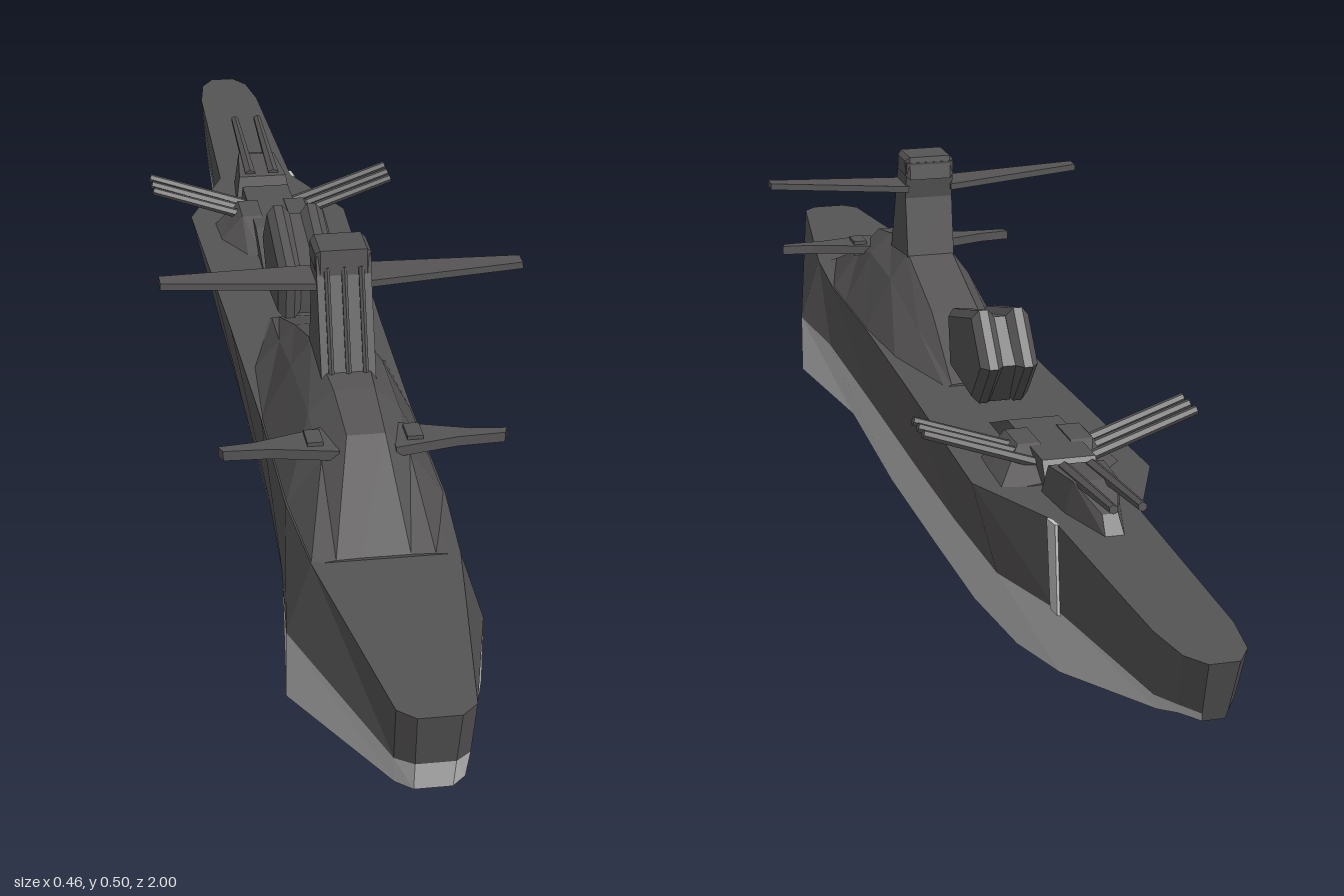
import * as THREE from 'three';

const DECK = 0.247;
const dark = new THREE.MeshStandardMaterial({ color: 0x565454 });
dark.name = 'charcoal paint';
const light = new THREE.MeshStandardMaterial({ color: 0xc4c4c4 });
light.name = 'light grey paint';

// Skin through rings (counterclockwise seen from +z, ordered back to front), with flat faces and end caps
function loft(rings, materialAt = () => 0) {
  const pos = [], geo = new THREE.BufferGeometry();
  const face = (pts, m) => {
    const start = pos.length / 3;
    for (let k = 1; k < pts.length - 1; k++) pos.push(...pts[0], ...pts[k], ...pts[k + 1]);
    geo.addGroup(start, pos.length / 3 - start, m);
  };
  const n = rings[0].length;
  for (let i = 0; i < rings.length - 1; i++) {
    for (let j = 0; j < n; j++) {
      const k = (j + 1) % n;
      face([rings[i][j], rings[i][k], rings[i + 1][k], rings[i + 1][j]], materialAt(i, j));
    }
  }
  face([...rings[0]].reverse(), materialAt(-1, 0));
  face(rings[rings.length - 1], materialAt(rings.length - 1, 0));
  geo.setAttribute('position', new THREE.Float32BufferAttribute(pos, 3));
  geo.computeVertexNormals();
  return geo;
}

// Symmetric trapezoid ring
const trapezoid = (z0, w0, y0, z1, w1, y1) =>
  [[w0, y0, z0], [w1, y1, z1], [-w1, y1, z1], [-w0, y0, z0]];

// Side profile of [z, y] points, extruded across x
function sideProfile(points, width, bevel = 0) {
  const shape = new THREE.Shape(points.map(([z, y]) => new THREE.Vector2(-z, y)));
  const depth = width - 2 * bevel;
  const geo = new THREE.ExtrudeGeometry(shape, {
    depth, bevelEnabled: bevel > 0, bevelThickness: bevel, bevelSize: bevel, bevelOffset: -bevel, bevelSegments: 1,
  });
  return geo.translate(0, 0, -depth / 2).rotateY(Math.PI / 2);
}

// Plan outline of [x, z] points, extruded upward
function planProfile(points, thickness) {
  const shape = new THREE.Shape(points.map(([x, z]) => new THREE.Vector2(x, -z)));
  return new THREE.ExtrudeGeometry(shape, { depth: thickness, bevelEnabled: false }).rotateX(-Math.PI / 2);
}

// Six-sided rod between two points
function rod(a, b, r0, r1) {
  const from = new THREE.Vector3(...a), dir = new THREE.Vector3(...b).sub(from);
  const geo = new THREE.CylinderGeometry(r1, r0, dir.length(), 6).toNonIndexed();
  geo.computeVertexNormals();
  const turn = new THREE.Quaternion().setFromUnitVectors(new THREE.Vector3(0, 1, 0), dir.clone().normalize());
  return geo.applyQuaternion(turn).translate(...from.addScaledVector(dir, 0.5).toArray());
}

export function createModel() {
  const model = new THREE.Group();
  const add = (name, geo, material = dark) => {
    const mesh = new THREE.Mesh(geo, material);
    mesh.name = name;
    model.add(mesh);
    return mesh;
  };

  // Hull stations: z, deck half-width, paint line half-width and y, keel half-width and y, end rake
  const stations = [
    [-1.00, 0.018, 0.015, 0.178, 0.013, 0.167, -0.37],
    [-0.97, 0.037, 0.033, 0.178, 0.030, 0.165, -0.37],
    [-0.90, 0.047, 0.042, 0.167, 0.037, 0.148, -0.1],
    [-0.55, 0.056, 0.052, 0.130, 0.046, 0.045, 0],
    [-0.40, 0.118, 0.085, 0.122, 0.058, 0.021, 0],
    [-0.20, 0.112, 0.088, 0.120, 0.061, 0.003, 0],
    [0.00, 0.106, 0.088, 0.120, 0.062, 0.003, 0],
    [0.28, 0.100, 0.090, 0.127, 0.062, 0.003, 0],
    [0.51, 0.100, 0.104, 0.150, 0.070, 0.034, 0],
    [0.66, 0.090, 0.120, 0.155, 0.120, 0.066, 0],
    [0.98, 0.045, 0.043, 0.172, 0.040, 0.134, 0.26],
    [1.00, 0.025, 0.023, 0.176, 0.022, 0.136, 0.26],
  ];
  const raked = (z, y, rake) => z - (DECK - y) * rake;
  add('upperHull', loft(stations.map(([z, dw, pw, py, , , k]) =>
    trapezoid(raked(z, py, k), pw, py, z, dw, DECK))));
  const lower = stations.map(([z, , pw, py, kw, ky, k]) =>
    trapezoid(raked(z, ky, k), kw, ky, raked(z, py, k), pw, py));
  // The after half of the keel is dark
  add('lowerHull', loft(lower, (i, j) => (i < 0 || (j === 3 && i < 6) ? 1 : 0)), [light, dark]);

  // Vertical paint stripe on the left side
  const stripe = [-0.567, -0.542].map((z) => {
    const t = Math.max(0, (z + 0.55) / 0.15);
    const top = 0.056 + t * 0.062, low = 0.052 + t * 0.033;
    return [[low - 0.002, 0.128, z], [low + 0.003, 0.128, z], [top + 0.003, DECK, z], [top - 0.002, DECK, z]];
  });
  add('sideStripe', loft(stripe), light);

  // Deckhouse: z, base half-width, shoulder half-width and y, roof half-width and y
  const house = [
    [-0.02, 0.055, 0.045, 0.249, 0.035, 0.250],
    [0.13, 0.090, 0.055, 0.285, 0.034, 0.308],
    [0.28, 0.099, 0.060, 0.320, 0.033, 0.357],
    [0.42, 0.099, 0.058, 0.322, 0.026, 0.352],
    [0.51, 0.099, 0.055, 0.305, 0.024, 0.335],
    [0.66, 0.090, 0.060, 0.249, 0.030, 0.250],
  ];
  add('deckhouse', loft(house.map(([z, bw, sw, sy, rw, ry]) => [
    [bw, DECK - 0.002, z], [sw, sy, z], [rw, ry, z],
    [-rw, ry, z], [-sw, sy, z], [-bw, DECK - 0.002, z],
  ])));

  // Conning tower with cap and front ribs
  add('tower', sideProfile([[0.27, 0.33], [0.38, 0.34], [0.335, 0.47], [0.33, 0.495], [0.275, 0.495], [0.285, 0.44]], 0.07));
  add('towerCap', sideProfile([[0.273, 0.47], [0.335, 0.47], [0.332, 0.503], [0.277, 0.503]], 0.072, 0.006));
  for (const x of [-0.022, 0, 0.022]) add('towerRib', rod([x, 0.35, 0.377], [x, 0.48, 0.333], 0.004, 0.004));

  for (const s of [1, -1]) {
    // Tower wings
    const wing = add('towerWing', planProfile([[0, 0.275], [0, 0.335], [s * 0.2, 0.328], [s * 0.2, 0.305]], 0.009));
    wing.position.set(s * 0.032, 0.451, 0);
    wing.rotation.z = s * 0.05;
    // Diving planes
    const plane = add('bowPlane', planProfile(
      [[0, 0.455], [0, 0.525], [s * 0.08, 0.508], [s * 0.14, 0.505], [s * 0.145, 0.492], [s * 0.1, 0.487]], 0.013));
    plane.position.set(s * 0.035, 0.309, 0);

    // Side battery: wedge mount and three raised barrels
    add('gunMount', loft([
      [-0.43, 0.25, 0.03, 0.256], [-0.37, 0.282, 0.05, 0.088], [-0.31, 0.282, 0.05, 0.085], [-0.24, 0.25, 0.03, 0.05],
    ].map(([z, y, w, far]) => {
      const ring = [[0.02, DECK - 0.004, z], [Math.min(far, 0.09), DECK - 0.004, z], [w, y, z], [0.02, y, z]];
      return s > 0 ? ring : ring.map(([x, yy, zz]) => [-x, yy, zz]).reverse();
    })));
    for (const z of [-0.345, -0.37, -0.397]) {
      add('sideBarrel', rod([s * 0.035, 0.266, z], [s * 0.18, 0.317, z], 0.007, 0.006));
    }

    // Faceted dome halves either side of a slot
    const half = add('domeHalf', sideProfile(
      [[0.028, 0.345], [0.015, 0.262], [-0.11, 0.25], [-0.167, 0.315], [-0.11, 0.382]], 0.032, 0.01));
    half.position.x = s * 0.024;

    // Stern gun barrels
    add('sternBarrel', rod([s * 0.018, 0.282, -0.47], [s * 0.018, 0.3, -0.667], 0.009, 0.006));
  }
  add('domeCore', sideProfile([[0.016, 0.34], [0.005, 0.265], [-0.105, 0.25], [-0.155, 0.315], [-0.105, 0.37]], 0.03));

  // Raised deck between the batteries and the stern gun mount
  add('batteryDeck', sideProfile([[-0.18, 0.246], [-0.45, 0.246], [-0.43, 0.28], [-0.27, 0.28]], 0.07));
  add('sternMount', loft([
    trapezoid(-0.62, 0.012, 0.246, -0.6, 0.01, 0.268),
    trapezoid(-0.53, 0.036, 0.246, -0.54, 0.028, 0.29),
    trapezoid(-0.45, 0.042, 0.246, -0.46, 0.036, 0.284),
  ]));

  // Small lamps on the deckhouse flanks
  for (const s of [1, -1]) {
    const lamp = add('flankPod', new THREE.BoxGeometry(0.02, 0.022, 0.035));
    lamp.position.set(s * 0.062, 0.316, 0.49);
  }
  return model;
}
